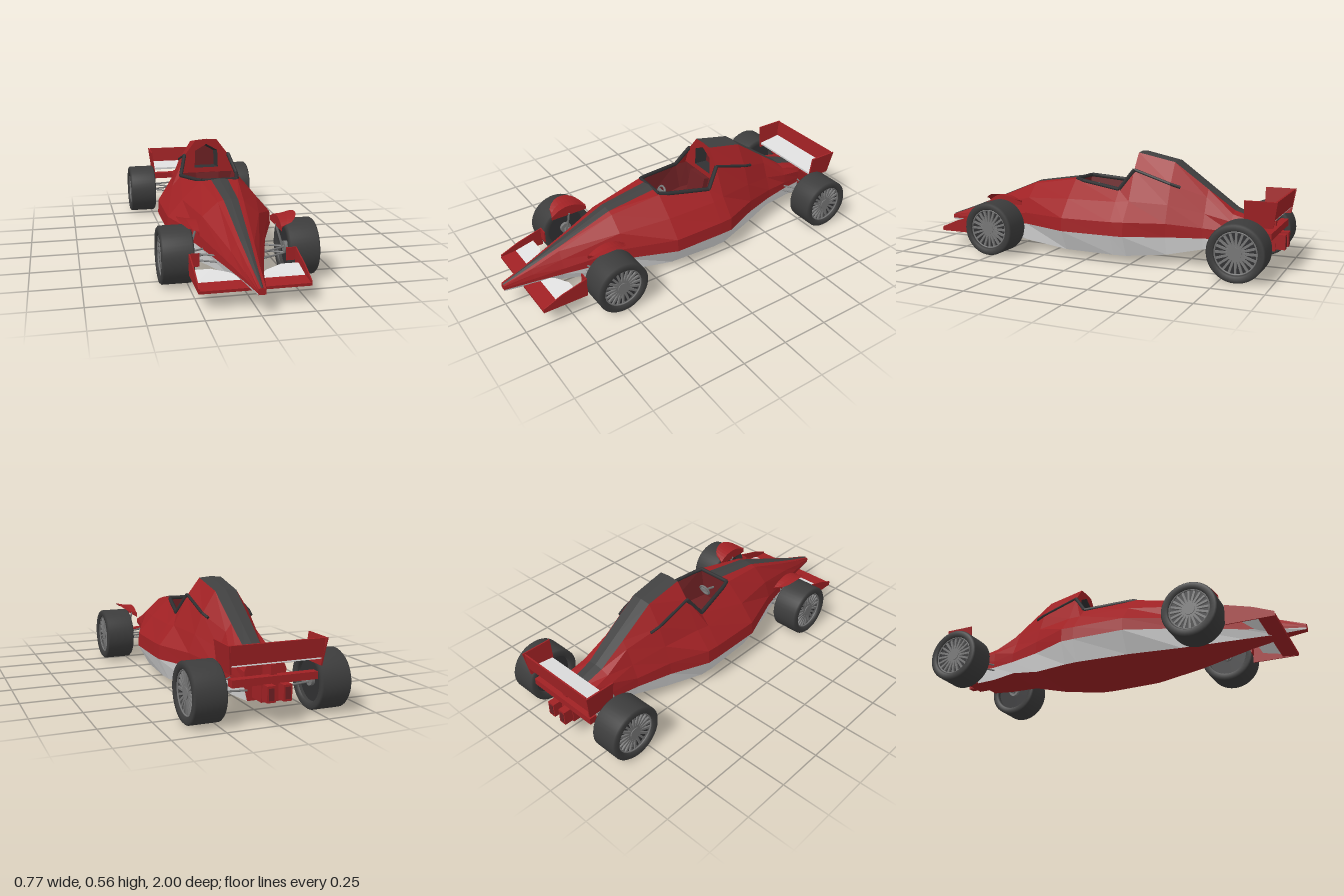
import * as THREE from 'three';

const mat = (name, color) =>
  Object.assign(new THREE.MeshStandardMaterial({ color, side: THREE.DoubleSide }), { name });

export function createModel() {
  const car = new THREE.Group();
  car.name = 'raceCar';
  const red = mat('bodyRed', 0xa02124);
  const inner = mat('interiorRed', 0x6c2023);
  const white = mat('lowerWhite', 0xdedede);
  const dark = mat('stripeGrey', 0x404040);
  const trim = mat('trimBlack', 0x303032);
  const tyreMat = mat('tyreGrey', 0x3c3c3c);
  const metal = mat('metalGrey', 0x767676);

  const add = (name, geo, material, parent = car) => {
    const m = new THREE.Mesh(geo, material);
    m.name = name;
    parent.add(m);
    return m;
  };
  const box = (name, material, w, h, d, x, y, z, parent) => {
    const m = add(name, new THREE.BoxGeometry(w, h, d), material, parent);
    m.position.set(x, y, z);
    return m;
  };
  // Faceted surface from four-cornered faces
  const quads = list => {
    const g = new THREE.BufferGeometry();
    const pos = list.flatMap(([a, b, c, d]) => [a, b, c, a, c, d]).flat();
    g.setAttribute('position', new THREE.Float32BufferAttribute(pos, 3));
    g.computeVertexNormals();
    return g;
  };
  const bar = (name, a, b, r, material) => {
    const p = new THREE.Vector3(...a), q = new THREE.Vector3(...b);
    const m = add(name, new THREE.CylinderGeometry(r, r, p.distanceTo(q), 6), material);
    m.position.copy(p).lerp(q, 0.5);
    m.quaternion.setFromUnitVectors(new THREE.Vector3(0, 1, 0), q.sub(p).normalize());
  };
  const shape = pts => new THREE.Shape(pts.map(p => new THREE.Vector2(...p)));
  // Plate drawn in (z, y), given thickness along x
  const sidePlate = (pts, x, t) => new THREE.ExtrudeGeometry(shape(pts), { depth: t, bevelEnabled: false })
    .rotateY(-Math.PI / 2).translate(x + t / 2, 0, 0);
  const flip = ([x, y, z]) => [-x, y, z];

  // Body cross-sections: z, then stripe edge, shoulder, crease, sill, floor edge
  const sections = [
    [1.0, [.005, .13], [.017, .129], [.019, .12], [.019, .108], [.017, .1]],
    [.85, [.014, .185], [.028, .18], [.042, .155], [.05, .115], [.035, .09]],
    [.7, [.023, .245], [.042, .238], [.068, .2], [.09, .125], [.07, .08]],
    [.4, [.037, .368], [.066, .36], [.145, .29], [.18, .15], [.155, .053]],
    [.13, [.045, .41], [.1, .405], [.2, .31], [.283, .15], [.22, .04]],
    [-.15, [0, .36], [.16, .372], [.21, .315], [.285, .15], [.235, .04]],
    [-.22, [.06, .56], [.125, .475], [.2, .32], [.283, .15], [.23, .04]],
    [-.42, [.057, .518], [.125, .41], [.165, .31], [.2, .15], [.172, .054]],
    [-.6, [.052, .388], [.08, .35], [.115, .27], [.148, .15], [.13, .09]],
    [-.74, [.045, .288], [.09, .275], [.115, .24], [.12, .15], [.105, .082]],
    [-.86, [.04, .25], [.095, .245], [.105, .22], [.105, .15], [.09, .085]],
  ];
  // A waist point bulges the side between crease and sill
  const rows = sections.map(([z, rail, shoulder, crease, sill, floor]) => {
    const waist = [sill[0] + (crease[0] - sill[0]) * .06, sill[1] + (crease[1] - sill[1]) * .43];
    return [[0, rail[1] + .005], rail, shoulder, crease, waist, sill, floor, [0, floor[1]]]
      .map(([x, y]) => [x, y, z]);
  });
  const panel = (from, to) => {
    const list = [];
    for (let s = 0; s < rows.length - 1; s++) for (let i = from; i < to; i++) {
      const z = sections[s][0];
      if (i < 2 && z < .2 && z > -.2) continue; // cockpit opening
      const [a, b, c, d] = [rows[s][i], rows[s][i + 1], rows[s + 1][i + 1], rows[s + 1][i]];
      list.push([a, b, c, d], [d, c, b, a].map(flip));
    }
    return quads(list);
  };
  add('centreStripe', panel(0, 1), dark);
  add('bodyShell', panel(1, 5), red);
  add('lowerSides', panel(5, 6), white);
  add('floor', panel(6, 7), red);
  for (const [name, r] of [['noseTip', rows[0]], ['tailCap', rows[rows.length - 1]]]) {
    const half = r.map(([x, y]) => [x, y]);
    const outline = [...half, ...half.slice(1, -1).reverse().map(([x, y]) => [-x, y])];
    add(name, new THREE.ShapeGeometry(shape(outline)), red).position.z = r[0][2];
  }

  // Air intake hoop behind the cockpit
  const hole = [[0, .535], [.064, .498], [.068, .4], [-.068, .4], [-.064, .498]];
  const hoopHalf = [[.06, .56], [.125, .475], [.16, .375], [.15, .25]];
  const hoop = shape([[0, .565], ...hoopHalf, ...hoopHalf.slice().reverse().map(([x, y]) => [-x, y])]);
  hoop.holes.push(shape(hole));
  add('intakeHoop', new THREE.ShapeGeometry(hoop), red).position.z = -.22;
  const holeBack = hole.map(([x, y]) => [x * .86, .4 + (y - .4) * .86]);
  add('intakeWalls', quads(hole.map((p, i) => {
    const j = (i + 1) % hole.length;
    return [[...p, -.22], [...hole[j], -.22], [...holeBack[j], -.29], [...holeBack[i], -.29]];
  })), trim);
  add('intakeBack', new THREE.ShapeGeometry(shape(holeBack)), inner).position.z = -.29;

  // Cockpit tub, seat and steering wheel
  const lip = [[.1, .405, .13], [.16, .372, -.15], [.15, .372, -.219]];
  const loop = [...lip, ...lip.slice().reverse().map(flip)];
  const base = loop.map(([x, , z]) => [x * .75, .24, z]);
  add('cockpitWalls', quads(loop.map((p, i) => {
    const j = (i + 1) % loop.length;
    return [p, loop[j], base[j], base[i]];
  })), inner);
  add('cockpitFloor', quads([[base[0], base[1], base[4], base[5]], [base[1], base[2], base[3], base[4]]]), inner);
  box('seatBack', inner, .13, .13, .03, 0, .31, -.19).rotation.x = -.2;
  const steering = add('steeringWheel', new THREE.TorusGeometry(.03, .006, 6, 16), metal);
  steering.position.set(0, .345, .05);
  steering.rotation.x = -.35;
  box('steeringHub', metal, .055, .014, .012, 0, .345, .05);
  bar('steeringColumn', [0, .345, .05], [0, .33, .12], .007, metal);

  // Dark cockpit edging running back along the engine cover
  const edge = [[.092, .406, .125], [.108, .4, .08], [.16, .374, -.15], [.126, .476, -.222],
    [.125, .412, -.42], [.115, .397, -.47]];
  bar('cockpitEdge', edge[0], flip(edge[0]), .01, trim);
  for (let i = 0; i < edge.length - 1; i++) for (const f of [p => p, flip])
    bar('cockpitEdge', f(edge[i]), f(edge[i + 1]), i < 3 ? .011 : .008, trim);

  // Wheels
  const tyreHalf = [[.105, .066], [.11, .0775], [.134, .0775], [.142, .069]];
  const tyreProfile = [...tyreHalf.map(([r, y]) => [r, -y]), ...tyreHalf.slice().reverse(), [.105, -.066]]
    .map(p => new THREE.Vector2(...p));
  const makeWheel = (side, z, name) => {
    const w = new THREE.Group();
    w.name = name;
    add('tyre', new THREE.LatheGeometry(tyreProfile, 40), tyreMat, w);
    add('wheelDisc', new THREE.CylinderGeometry(.106, .106, .1, 32), trim, w);
    add('hub', new THREE.CylinderGeometry(.028, .03, .134, 16), metal, w);
    add('rimRing', new THREE.TorusGeometry(.102, .004, 6, 32).rotateX(Math.PI / 2).translate(0, .064, 0), metal, w);
    for (let i = 0; i < 20; i++) {
      const a = i * Math.PI / 10;
      box('spoke', metal, .08, .01, .011, Math.cos(a) * .064, .058, -Math.sin(a) * .064, w).rotation.y = a;
    }
    w.rotation.z = -side * Math.PI / 2;
    w.position.set(side * .3075, .145, z);
    car.add(w);
  };

  for (const s of [1, -1]) {
    const sideName = s > 0 ? 'left' : 'right';
    makeWheel(s, .52, sideName + 'FrontWheel');
    makeWheel(s, -.83, sideName + 'RearWheel');

    // Suspension arms
    for (const y of [.115, .147]) for (const dz of [.07, -.07]) {
      bar('frontArm', [s * .11, y, .52 + dz], [s * .25, y, .52], .005, metal);
      bar('rearArm', [s * .09, y + .02, -.79 + dz], [s * .25, y + .02, -.83], .005, metal);
    }

    // Leaf-shaped fender over the front wheel, closed on its inner side
    const arc = t => {
      const a = t * .72, out = .093 * Math.sqrt(1 - t * t);
      return [0, .5, 1].map(u => [s * (.2 + out * u), .145 + Math.cos(a) * (.166 + .014 * u * u),
        .515 + Math.sin(a) * .156]);
    };
    const fender = [];
    for (let i = 0; i < 12; i++) {
      const p = arc(i / 6 - 1), q = arc((i + 1) / 6 - 1);
      for (let k = 0; k < 2; k++) fender.push([p[k], q[k], q[k + 1], p[k + 1]]);
      fender.push([p[0], q[0], [s * .2, .255, q[0][2]], [s * .2, .255, p[0][2]]]);
    }
    add(sideName + 'Fender', quads(fender), red);
    bar('fenderStay', [s * .2, .265, .515], [s * .235, .15, .515], .006, metal);

    // Front wing half
    add('frontWingFlap', quads([
      [[s * .26, .106, .82], [s * .03, .106, .82], [s * .085, .12, .755], [s * .17, .13, .715]],
      [[s * .26, .106, .82], [s * .17, .13, .715], [s * .21, .13, .715], [s * .26, .13, .715]]]), white);
    add('frontWingEndplate', sidePlate([[.9, .085], [.9, .108], [.8, .15], [.66, .19], [.66, .085]], s * .258, .006), red);
    box('frontWingCorner', red, .05, .064, .006, s * .235, .158, .663);

    // Rear wing endplate, leaning outward
    const plate = add('rearWingEndplate',
      sidePlate([[-.83, -.065], [-.83, .065], [-.99, .065], [-.97, -.065]], 0, .008), red);
    plate.position.set(s * .229, .31, 0);
    plate.rotation.z = -s * .12;

    // Exhaust boxes
    box('exhaustBox', red, .042, .075, .06, s * .04, .147, -.968);
    box('exhaustOutlet', inner, .026, .055, .004, s * .04, .147, -.998);
  }

  // Front wing blade
  box('frontWingBlade', red, .52, .014, .085, 0, .095, .86).rotation.x = .1;

  // Rear wing and tail
  box('rearWingPlane', white, .44, .012, .135, 0, .275, -.903).rotation.x = .12;
  box('rearWingFlap', red, .455, .09, .008, 0, .33, -.977).rotation.x = -.12;
  box('rearBeam', red, .42, .035, .04, 0, .2, -.94);
  box('gearbox', red, .13, .1, .1, 0, .15, -.9);
  box('wingPylon', red, .03, .08, .08, 0, .225, -.9);
  return car;
}
